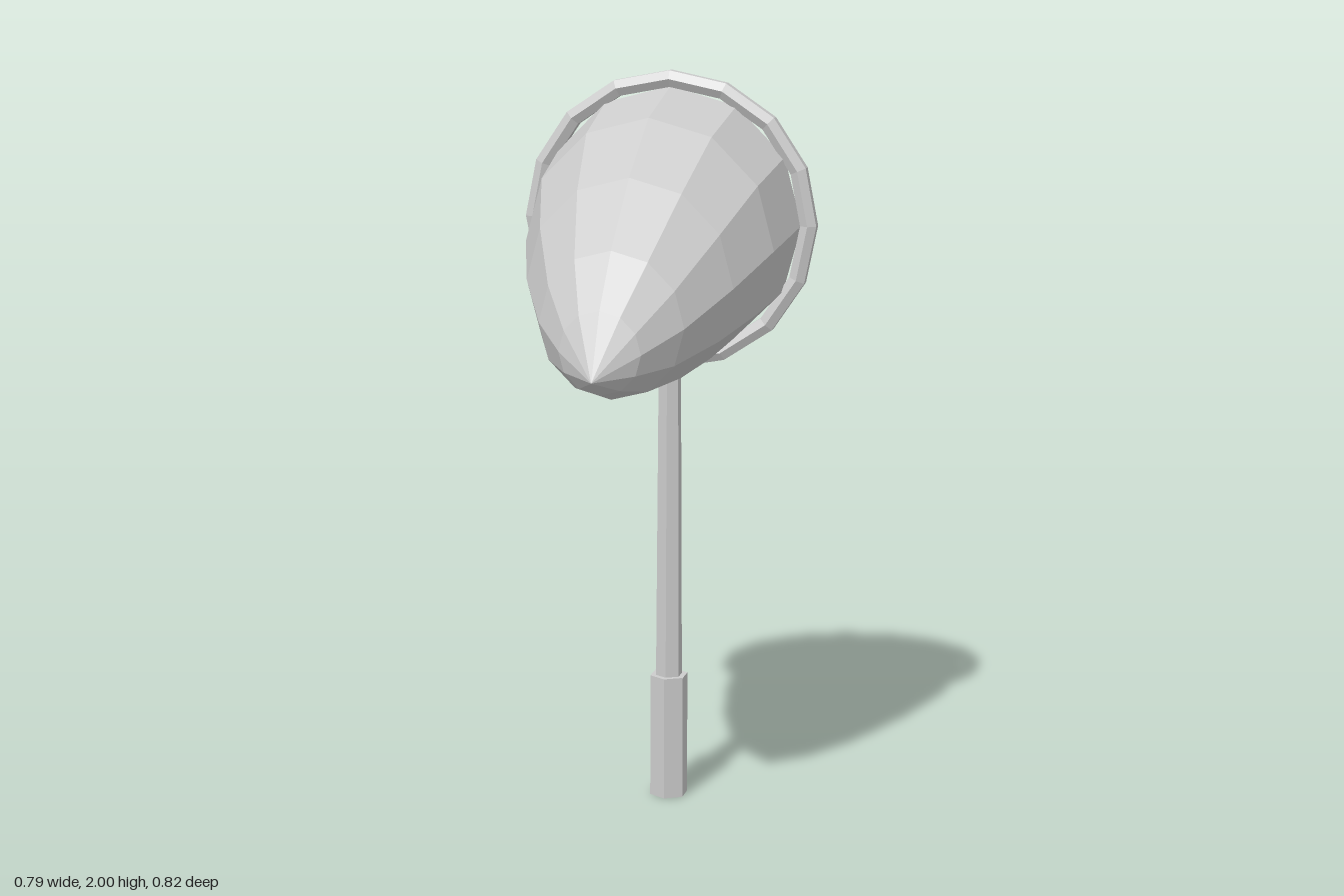
import * as THREE from 'three';

export function createModel() {
  const group = new THREE.Group();
  const grey = new THREE.MeshStandardMaterial({
    color: 0xcccccc, flatShading: true, side: THREE.DoubleSide,
  });
  grey.name = 'lightGrey';

  const hoopY = 1.603, hoopZ = -0.355;

  function add(name, geometry, x = 0, y = 0, z = 0) {
    const mesh = new THREE.Mesh(geometry, grey);
    mesh.name = name;
    mesh.position.set(x, y, z);
    group.add(mesh);
    return mesh;
  }

  // Hexagonal handle grip and tapering pole
  const gripHeight = 0.345, poleTop = 1.23;
  const poleHeight = poleTop - gripHeight;
  add('handleGrip', new THREE.CylinderGeometry(0.053, 0.053, gripHeight, 6), 0, gripHeight / 2, hoopZ);
  add('pole', new THREE.CylinderGeometry(0.031, 0.037, poleHeight, 6), 0, gripHeight + poleHeight / 2, hoopZ);

  // Hoop: hexagonal section swept round sixteen sides
  const section = [];
  for (let i = 0; i <= 6; i++) {
    const a = Math.PI / 6 + i * Math.PI / 3;
    section.push(new THREE.Vector2(0.375 + 0.025 * Math.cos(a), 0.025 * Math.sin(a)));
  }
  add('hoop', new THREE.LatheGeometry(section, 16).rotateX(Math.PI / 2), 0, hoopY, hoopZ);

  // Net bag: twelve-sided rings [z, radius, centre height] sagging to a point
  const rings = [
    [-0.355, 0.355, 1.603], [-0.13, 0.331, 1.568], [0.06, 0.27, 1.5],
    [0.23, 0.187, 1.425], [0.335, 0.105, 1.375], [0.41, 0, 1.315],
  ];
  const bag = new THREE.LatheGeometry(rings.map(([z, r]) => new THREE.Vector2(r, z)), 12);
  bag.rotateX(Math.PI / 2);
  const pos = bag.attributes.position;
  for (let i = 0; i < pos.count; i++) {
    pos.setY(i, pos.getY(i) + rings[i % rings.length][2]);
  }
  bag.computeVertexNormals();
  add('netBag', bag);

  return group;
}
